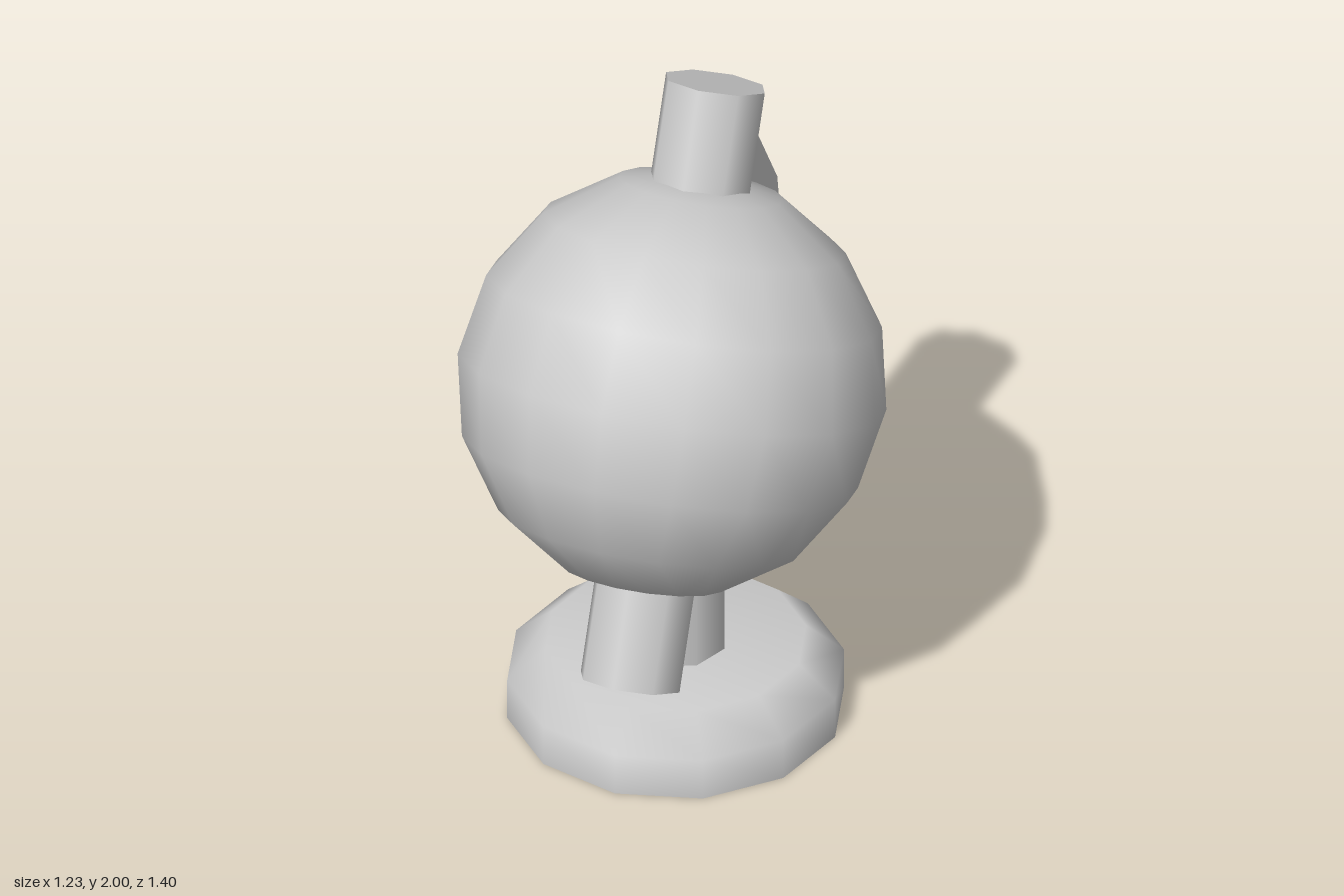
import * as THREE from 'three';
import { mergeGeometries, toCreasedNormals } from 'three/addons/utils/BufferGeometryUtils.js';

const TILT = THREE.MathUtils.degToRad(24);

export function createModel() {
  const model = new THREE.Group();
  model.name = 'deskGlobe';
  const grey = new THREE.MeshStandardMaterial({ color: 0xcccccc });
  grey.name = 'lightGrey';

  function add(name, geometry, y, z, tilt = 0) {
    const mesh = new THREE.Mesh(geometry, grey);
    mesh.name = name;
    mesh.position.set(0, y, z);
    mesh.rotation.x = -tilt;
    model.add(mesh);
    return mesh;
  }

  // Rounded foot with a soft shoulder and a flat underside
  const shoulder = [[0.485, 0], [0.485, 0.13], [0.375, 0.226], [0, 0.226]];
  const footTop = new THREE.LatheGeometry(shoulder.map(([r, y]) => new THREE.Vector2(r, y)), 12);
  const footBottom = new THREE.CircleGeometry(0.485, 12).rotateX(Math.PI / 2);
  add('base', mergeGeometries([footTop, footBottom]), 0, 0.055);

  // Short upright post between foot and arm
  add('stem', new THREE.CylinderGeometry(0.15, 0.15, 0.32, 8), 0.36, 0.06);

  // Globe leaning backwards
  add('globe', new THREE.SphereGeometry(0.617, 16, 8), 1.13, 0.084, TILT);

  // Axis pins at both poles; the given point is the centre of the outer end
  const pinLength = 0.5;
  for (const [name, y, z, side] of [['topPin', 1.939, -0.263, 1], ['bottomPin', 0.307, 0.418, -1]]) {
    const inset = side * pinLength / 2;
    add(name, new THREE.CylinderGeometry(0.15, 0.15, pinLength, 8),
      y - inset * Math.cos(TILT), z + inset * Math.sin(TILT), TILT);
  }

  // Half-ring arm of rectangular section behind the globe, from pin to pin
  const section = [[0.625, -0.04], [0.762, -0.04], [0.762, 0.04], [0.625, 0.04], [0.625, -0.04]];
  const ring = new THREE.LatheGeometry(
    section.map(([r, w]) => new THREE.Vector2(r, w)), 8, Math.PI / 2 + TILT, Math.PI);
  ring.rotateZ(Math.PI / 2);
  add('arm', toCreasedNormals(ring, 0.6), 1.1, 0.06);

  return model;
}
